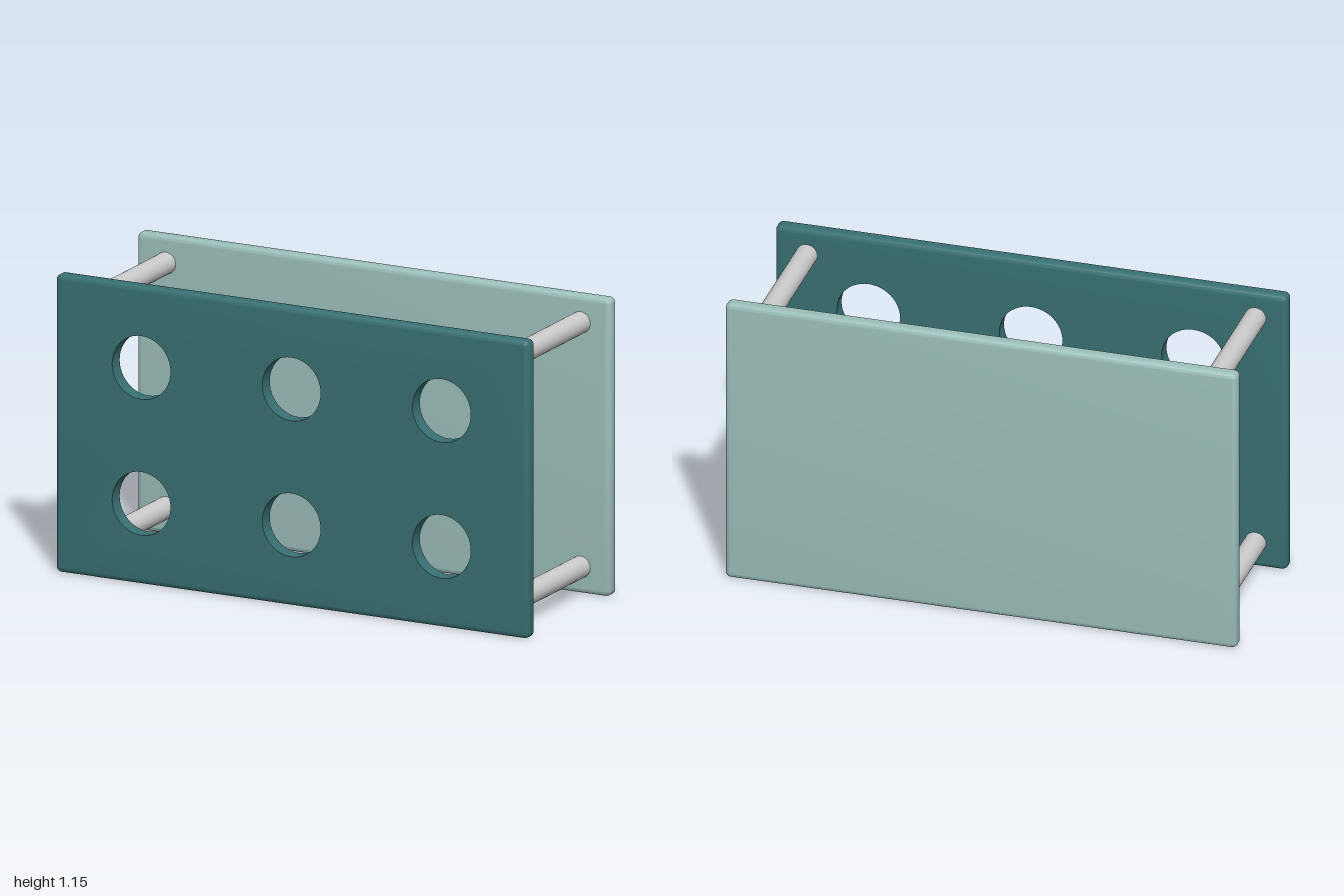
import * as THREE from 'three';
import { toCreasedNormals } from 'three/addons/utils/BufferGeometryUtils.js';

const W = 1.995, H = 1.155, T = 0.06; // panel width, height, thickness
const EDGE = 0.02;                    // rounding of the panel rim
const MID_Y = 0.583;                  // height of the panel centres
const PANEL_Z = 0.327;
const HOLE_R = 0.123;

// Rectangle with slightly rounded corners
function panelShape() {
  const x = W / 2, y = H / 2, r = EDGE + 0.003;
  const s = new THREE.Shape();
  s.absarc(x - r, y - r, r, 0, Math.PI / 2);
  s.absarc(-x + r, y - r, r, Math.PI / 2, Math.PI);
  s.absarc(-x + r, -y + r, r, Math.PI, Math.PI * 1.5);
  s.absarc(x - r, -y + r, r, Math.PI * 1.5, Math.PI * 2);
  s.closePath();
  return s;
}

// Panel with a rounded rim and straight, sharp-edged round holes
function panelGeometry(holes) {
  const shape = panelShape();
  for (const [x, y] of holes) {
    const hole = new THREE.Path();
    hole.absarc(x, y, HOLE_R, 0, Math.PI * 2, true);
    shape.holes.push(hole);
  }
  const geo = new THREE.ExtrudeGeometry(shape, {
    depth: T - 2 * EDGE, bevelEnabled: true, bevelThickness: EDGE,
    bevelSize: EDGE, bevelOffset: -EDGE, bevelSegments: 6, curveSegments: 24,
  });
  geo.translate(0, 0, -(T - 2 * EDGE) / 2);
  // Undo the bevel inside the holes: pull each wall vertex back to the radius
  const p = geo.attributes.position;
  for (let i = 0; i < p.count; i++) {
    for (const [x, y] of holes) {
      const dx = p.getX(i) - x, dy = p.getY(i) - y, d = Math.hypot(dx, dy);
      if (d < HOLE_R + 2 * EDGE) p.setXY(i, x + dx / d * HOLE_R, y + dy / d * HOLE_R);
    }
  }
  return toCreasedNormals(geo, 0.6);
}

export function createModel() {
  const group = new THREE.Group();
  const dark = new THREE.MeshStandardMaterial({ color: 0x387072 });
  const pale = new THREE.MeshStandardMaterial({ color: 0x9cbfba });
  const grey = new THREE.MeshStandardMaterial({ color: 0xcccccc });

  // Front panel with two rows of three holes
  const holes = [];
  for (const y of [0.319, 0.846])
    for (const x of [-0.633, 0, 0.633]) holes.push([x, y - MID_Y]);
  const front = new THREE.Mesh(panelGeometry(holes), dark);
  front.name = 'frontPanel';
  front.position.set(0, MID_Y, PANEL_Z);
  group.add(front);

  // Solid back panel
  const back = new THREE.Mesh(panelGeometry([]), pale);
  back.name = 'backPanel';
  back.position.set(0, MID_Y, -PANEL_Z);
  group.add(back);

  // Four spacer rods near the corners
  const rodGeo = new THREE.CylinderGeometry(0.042, 0.042, 2 * PANEL_Z - T, 32);
  rodGeo.rotateX(Math.PI / 2);
  for (const sx of [-1, 1]) {
    for (const sy of [-1, 1]) {
      const rod = new THREE.Mesh(rodGeo, grey);
      rod.name = (sy > 0 ? 'upper' : 'lower') + (sx > 0 ? 'Left' : 'Right') + 'Rod';
      rod.position.set(sx * 0.874, MID_Y + sy * 0.474, 0);
      group.add(rod);
    }
  }
  return group;
}
